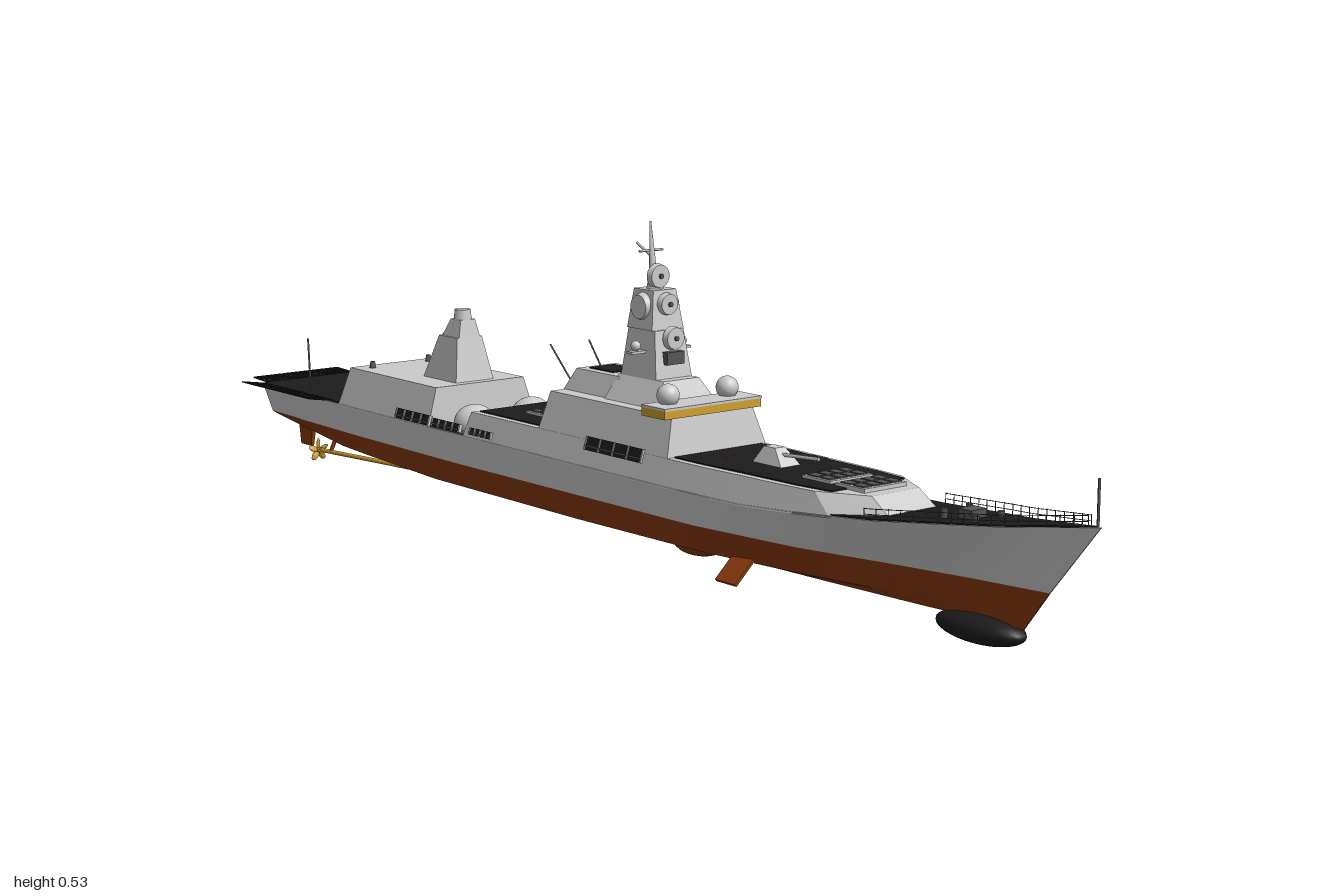
import * as THREE from 'three';
import { toCreasedNormals } from 'three/addons/utils/BufferGeometryUtils.js';

const paint = (color) => new THREE.MeshStandardMaterial({ color });
const grey = paint(0xcccccc), black = paint(0x1c1c1c), rust = paint(0x8a3a0c), gold = paint(0xd0a02c), dark = paint(0x555555);
const SIDES = [-1, 1];

// Piecewise linear lookup in a list of [x, value]
function look(table, x) {
  let i = 1;
  while (i < table.length - 1 && x > table[i][0]) i++;
  const [a, va] = table[i - 1], [b, vb] = table[i];
  return va + (vb - va) * THREE.MathUtils.clamp((x - a) / (b - a), 0, 1);
}

// Closed solid through equal-length rings of [x, y, z], wound outward by its signed volume
function loft(rings, crease = 0.3) {
  const pos = [], n = rings[0].length, last = rings.length - 1;
  const tri = (a, b, c) => pos.push(...a, ...b, ...c);
  for (let i = 0; i < last; i++) for (let j = 0; j < n; j++) {
    const k = (j + 1) % n, a = rings[i][j], b = rings[i][k], c = rings[i + 1][k], d = rings[i + 1][j];
    tri(a, b, c); tri(a, c, d);
  }
  for (let j = 1; j < n - 1; j++) {
    tri(rings[0][0], rings[0][j + 1], rings[0][j]);
    tri(rings[last][0], rings[last][j], rings[last][j + 1]);
  }
  const v = (i) => new THREE.Vector3().fromArray(pos, i);
  let volume = 0;
  for (let i = 0; i < pos.length; i += 9) volume += v(i).dot(v(i + 3).cross(v(i + 6)));
  if (volume < 0) for (let i = 0; i < pos.length; i += 9) {
    const b = pos.slice(i + 3, i + 6), c = pos.slice(i + 6, i + 9);
    for (let k = 0; k < 3; k++) { pos[i + 3 + k] = c[k]; pos[i + 6 + k] = b[k]; }
  }
  const g = new THREE.BufferGeometry();
  g.setAttribute('position', new THREE.Float32BufferAttribute(pos, 3));
  g.computeVertexNormals();
  return toCreasedNormals(g, crease);
}

// Hull lines: x ends, height and half width along the length
const flat = (y) => [[-1, y], [1, y]];
const LINES = {
  edge: { s: -0.955, e: 1, y: [[-0.95, 0.145], [0.4, 0.145], [0.65, 0.16], [0.85, 0.18], [1, 0.2]],
    w: [[-0.95, 0.1], [-0.7, 0.109], [-0.4, 0.113], [0.3, 0.113], [0.5, 0.103], [0.65, 0.083], [0.8, 0.051], [0.9, 0.026], [1, 0.001]] },
  water: { s: -0.93, e: 0.915, y: flat(0.095),
    w: [[-0.95, 0.095], [-0.6, 0.108], [-0.3, 0.113], [0.3, 0.108], [0.5, 0.085], [0.7, 0.047], [0.85, 0.021], [1, 0.001]] },
  bilge: { s: -0.92, e: 0.88, y: [[-0.95, 0.085], [-0.7, 0.062], [-0.4, 0.05], [1, 0.05]],
    w: [[-0.95, 0.08], [-0.6, 0.09], [0, 0.093], [0.3, 0.085], [0.5, 0.06], [0.7, 0.032], [0.85, 0.014], [1, 0.001]] },
  keel: { s: -0.91, e: 0.87, y: [[-0.95, 0.078], [-0.7, 0.052], [-0.45, 0.035], [1, 0.035]],
    w: [[-0.95, 0.03], [0.3, 0.03], [0.7, 0.015], [1, 0.001]] },
};
function linePoint({ s, e, y, w }, u, side) {
  let x = u;
  if (u < -0.7) x = -0.7 + (u + 0.7) / 0.25 * (s + 0.7) * -1 * -1 * -1;
  if (u > 0.5) x = 0.5 + (u - 0.5) / 0.5 * (e - 0.5);
  return [x, look(y, u), side * look(w, u)];
}
const STATIONS = Array.from({ length: 40 }, (_, i) => -0.95 + 1.95 * i / 39);
const hullRings = (names) => STATIONS.map((u) => [
  ...names.map((n) => linePoint(LINES[n], u, -1)), ...[...names].reverse().map((n) => linePoint(LINES[n], u, 1))]);
const edgeW = (x) => look(LINES.edge.w, x), edgeY = (x) => look(LINES.edge.y, x);
const sideZ = (x, y) => edgeW(x) - 0.314 * (y - edgeY(x));

// Block that carries the hull sides on upward with an inward slope
function sideBlock(x0, x1, top, aft, fore, noseW = 1) {
  return loft(Array.from({ length: 13 }, (_, i) => {
    const t = i / 12, xb = x0 + (x1 - x0) * t, xt = x0 + aft + (x1 - fore - x0 - aft) * t;
    const k = i === 12 ? noseW : 1, wb = edgeW(xb) * k, wt = sideZ(xt, top) * k, yb = edgeY(xb) - 0.003;
    return [[xb, yb, -wb], [xt, top, -wt], [xt, top, wt], [xb, yb, wb]];
  }));
}
// Thin deck covering between two stations
function deckPlate(x0, x1, height, inset) {
  return loft(Array.from({ length: 21 }, (_, i) => {
    const x = x0 + (x1 - x0) * i / 20, y = height ?? edgeY(x);
    const w = Math.max((height ? sideZ(x, y) : edgeW(x)) - inset, 0.0005);
    return [[x, y - 0.002, -w], [x, y + 0.002, -w], [x, y + 0.002, w], [x, y - 0.002, w]];
  }));
}
// Tapered box: [x0, x1, half width] at the bottom and top
function taper(y0, [a, b, c], y1, [d, e, f]) {
  return loft([[[a, y0, -c], [b, y0, -c], [b, y0, c], [a, y0, c]], [[d, y1, -f], [e, y1, -f], [e, y1, f], [d, y1, f]]]);
}

export function createModel() {
  const ship = new THREE.Group();
  const add = (name, geo, mat, x = 0, y = 0, z = 0, parent = ship) => {
    const m = new THREE.Mesh(geo, mat);
    m.name = name; m.position.set(x, y, z); parent.add(m);
    return m;
  };
  const box = (name, mat, w, h, d, x, y, z, parent) => add(name, new THREE.BoxGeometry(w, h, d), mat, x, y, z, parent);
  const ball = (name, mat, r, x, y, z) => add(name, new THREE.SphereGeometry(r, 24, 16), mat, x, y, z);
  const rod = (name, mat, a, b, r0, r1 = r0, n = 6) => {
    const p = new THREE.Vector3(...a), q = new THREE.Vector3(...b), d = q.clone().sub(p);
    const m = add(name, new THREE.CylinderGeometry(r1, r0, d.length(), n), mat, ...p.add(q).multiplyScalar(0.5).toArray());
    m.quaternion.setFromUnitVectors(new THREE.Vector3(0, 1, 0), d.normalize());
    return m;
  };

  // Hull, bow bulb and main deck
  add('lowerHull', loft(hullRings(['water', 'bilge', 'keel']), 0.5), rust);
  add('upperHull', loft(hullRings(['edge', 'water'])), grey);
  ball('bowBulb', black, 1, 0.79, 0.022, 0).scale.set(0.08, 0.022, 0.035);
  add('flightDeck', deckPlate(-0.95, -0.68, null, 0.002), black);
  add('foreDeck', deckPlate(0.58, 0.995, null, 0.003), black);
  add('boatDeck', deckPlate(-0.4, -0.28, null, 0.003), dark);

  // Raised blocks and their dark decks
  add('hangar', sideBlock(-0.68, -0.39, 0.21, 0.012, 0.004), grey);
  add('raisedDeck', sideBlock(-0.29, 0.66, 0.185, 0.01, 0.04, 0.6), grey);
  add('superstructure', sideBlock(-0.1, 0.24, 0.245, 0.015, 0.02), grey);
  add('midDeck', deckPlate(-0.272, -0.1, 0.185, 0.012), black);
  add('gunDeck', deckPlate(0.235, 0.565, 0.185, 0.012), black);
  for (const [x, y, r] of [[-0.8, 0.148, 0.08], [0.37, 0.188, 0.085]])
    add('deckCircle', new THREE.RingGeometry(r - 0.002, r, 48).rotateX(-Math.PI / 2), rust, x, y, 0);

  // Missile hatches
  for (const [x, y] of [[-0.175, 0.188], [0.5, 0.188], [0.57, 0.188]]) {
    box('hatchBase', grey, 0.06, 0.006, 0.085, x, y, 0);
    for (let i = 0; i < 2; i++) for (let j = 0; j < 4; j++)
      box('hatch', dark, 0.022, 0.004, 0.016, x - 0.013 + i * 0.026, y + 0.003, -0.03 + j * 0.02);
  }

  // Deck gun
  add('gunTurret', taper(0.186, [0.335, 0.4, 0.02], 0.212, [0.35, 0.375, 0.01]), grey);
  rod('gunBarrel', grey, [0.38, 0.202, 0], [0.46, 0.207, 0], 0.003);

  // Bridge, funnel and main tower
  box('bridgeWindows', gold, 0.055, 0.013, 0.196, 0.195, 0.249, 0);
  box('bridgeRoof', grey, 0.058, 0.004, 0.196, 0.195, 0.2575, 0);
  add('funnel', taper(0.24, [-0.09, 0.045, 0.055], 0.28, [-0.07, 0.04, 0.04]), grey);
  box('funnelOpening', black, 0.06, 0.004, 0.05, -0.025, 0.28, 0);
  add('towerBase', taper(0.243, [0.025, 0.165, 0.06], 0.285, [0.035, 0.145, 0.036]), grey);
  add('towerLower', taper(0.28, [0.04, 0.128, 0.037], 0.36, [0.05, 0.115, 0.029]), grey);
  add('towerUpper', taper(0.36, [0.05, 0.112, 0.032], 0.422, [0.056, 0.104, 0.023]), grey);
  box('towerWindow', dark, 0.02, 0.02, 0.035, 0.122, 0.317, 0);
  for (const [x, y, r] of [[0.113, 0.4, 0.018], [0.128, 0.348, 0.019], [0.09, 0.442, 0.02]]) {
    rod('radarDish', grey, [x - 0.006, y, 0], [x + 0.004, y, 0], r, r * 0.9, 28);
    rod('dishHub', dark, [x - 0.02, y, 0], [x + 0.008, y, 0], 0.004);
  }
  rod('towerNeck', grey, [0.08, 0.42, 0], [0.08, 0.455, 0], 0.014, 0.008, 12);
  rod('topMast', grey, [0.075, 0.45, 0], [0.068, 0.527, 0], 0.006, 0.0015, 8);
  rod('mastCrossbar', grey, [0.07, 0.481, -0.024], [0.07, 0.481, 0.024], 0.002);
  rod('mastGaff', grey, [0.074, 0.47, 0], [0.035, 0.49, 0], 0.002);
  for (const s of SIDES) {
    rod('sideRadar', grey, [0.08, 0.395, s * 0.02], [0.08, 0.395, s * 0.034], 0.024, 0.019, 24);
    box('yardarm', grey, 0.014, 0.004, 0.03, 0.09, 0.326, s * 0.045);
    ball('yardDome', grey, 0.008, 0.09, 0.336, s * 0.047);
    rod('domeStand', grey, [0.185, 0.258, s * 0.06], [0.185, 0.27, s * 0.06], 0.013, 0.016, 16);
    ball('bridgeDome', grey, 0.018, 0.185, 0.272, s * 0.06);
    rod('whipAerial', dark, [-0.085, 0.25, s * 0.035], [-0.14, 0.31, s * 0.04], 0.0015);
  }

  // Aft tower on the hangar
  add('aftTower', taper(0.208, [-0.51, -0.41, 0.04], 0.285, [-0.48, -0.425, 0.026]), grey);
  add('aftTowerTop', taper(0.285, [-0.475, -0.425, 0.022], 0.315, [-0.46, -0.43, 0.015]), grey);
  rod('aftSensor', grey, [-0.445, 0.312, 0], [-0.445, 0.332, 0], 0.016, 0.014, 16);
  rod('aftDish', grey, [-0.478, 0.275, 0], [-0.492, 0.278, 0], 0.016, 0.013, 20);
  for (const s of SIDES) {
    rod('hangarSensor', dark, [-0.64, 0.21, s * 0.06], [-0.64, 0.222, s * 0.06], 0.006, 0.004, 8);
    ball('boatCover', grey, 1, -0.327, 0.155, s * 0.06).scale.set(0.036, 0.032, 0.036);
  }

  // Side bays with bars
  for (const s of SIDES) for (const [x, y, w, h] of [[0.105, 0.18, 0.14, 0.022], [-0.44, 0.155, 0.1, 0.018], [-0.34, 0.155, 0.08, 0.014], [-0.24, 0.155, 0.06, 0.012]]) {
    const bay = new THREE.Group();
    bay.name = 'sideBay';
    bay.position.set(x, y, s * sideZ(x, y)); bay.rotation.x = -s * 0.3;
    ship.add(bay);
    box('bayOpening', black, w, h, 0.003, 0, 0, 0, bay);
    for (let i = 0; i < 5; i++) box('bayBar', grey, 0.003, h, 0.006, (i / 4 - 0.5) * w, 0, 0, bay);
    box('bayShelf', dark, w, 0.003, 0.008, 0, -h * 0.2, 0, bay);
  }

  // Safety nets around the flight deck
  const net = (x, z, turn, w, d, tilt) => {
    const g = new THREE.Group();
    g.name = 'safetyNet';
    g.position.set(x, 0.147, z); g.rotation.set(0, turn, 0);
    const panel = new THREE.Group();
    panel.rotation.x = -tilt; g.add(panel); ship.add(g);
    for (let i = 0; i < 7; i++) box('netBar', black, 0.004, 0.002, d, (i / 6 - 0.5) * w, 0, d / 2, panel);
    for (let i = 0; i < 5; i++) box('netRail', black, w, 0.002, 0.003, 0, 0, d * i / 4, panel);
  };
  for (let i = 0; i < 3; i++) {
    for (const s of SIDES) net(-0.9 + i * 0.08, s * 0.103, s > 0 ? 0 : Math.PI, 0.074, 0.052, 0.16);
    net(-0.953, (i - 1) * 0.063, -Math.PI / 2, 0.058, 0.047, 0.05);
  }

  // Flagstaffs and bow railing
  rod('sternStaff', dark, [-0.95, 0.145, 0], [-0.955, 0.22, 0], 0.002);
  rod('bowStaff', dark, [0.994, 0.2, 0], [0.994, 0.265, 0], 0.002);
  const rail = (x, s, h) => [x, edgeY(x) + h, s * Math.max(edgeW(x) - 0.003, 0)];
  for (const s of SIDES) for (let i = 0; i < 18; i++) {
    const x = 0.64 + i * 0.02;
    rod('railPost', dark, rail(x, s, 0), rail(x, s, 0.017), 0.0009, 0.0009, 4);
    if (i < 17) for (const h of [0.008, 0.016]) rod('railWire', dark, rail(x, s, h), rail(x + 0.02, s, h), 0.0006, 0.0006, 4);
  }
  for (const s of SIDES) for (const x of [0.74, 0.8]) rod('bollard', dark, [x, 0.165, s * 0.025], [x, 0.185, s * 0.025], 0.005, 0.005, 8);
  box('windlass', dark, 0.025, 0.014, 0.03, 0.77, 0.18, 0);

  // Rudders, shafts, propellers, fins and keel dome
  ball('keelDome', rust, 1, 0.19, 0.032, 0).scale.set(0.05, 0.019, 0.032);
  for (const s of SIDES) {
    add('rudder', taper(0.033, [-0.9, -0.865, 0.003], 0.085, [-0.905, -0.855, 0.005]), rust, 0, 0, s * 0.05);
    rod('shaft', gold, [-0.835, 0.032, s * 0.058], [-0.45, 0.045, s * 0.045], 0.004, 0.004, 8);
    rod('shaftStrut', rust, [-0.79, 0.035, s * 0.057], [-0.78, 0.075, s * 0.045], 0.004);
    rod('propellerHub', gold, [-0.845, 0.03, s * 0.058], [-0.82, 0.032, s * 0.058], 0.004, 0.006, 10);
    for (let i = 0; i < 5; i++) {
      const a = i * Math.PI * 0.4;
      const blade = add('propellerBlade', new THREE.SphereGeometry(1, 10, 8), gold, -0.832, 0.031 + 0.011 * Math.cos(a), s * 0.058 + 0.011 * Math.sin(a));
      blade.scale.set(0.0025, 0.011, 0.006);
      blade.rotation.set(a, 0.5, 0, 'XYZ');
    }
    const fin = box('stabiliserFin', rust, 0.045, 0.005, 0.05, 0.38, 0.039, s * 0.092);
    fin.rotation.x = s * 0.75;
  }
  return ship;
}
